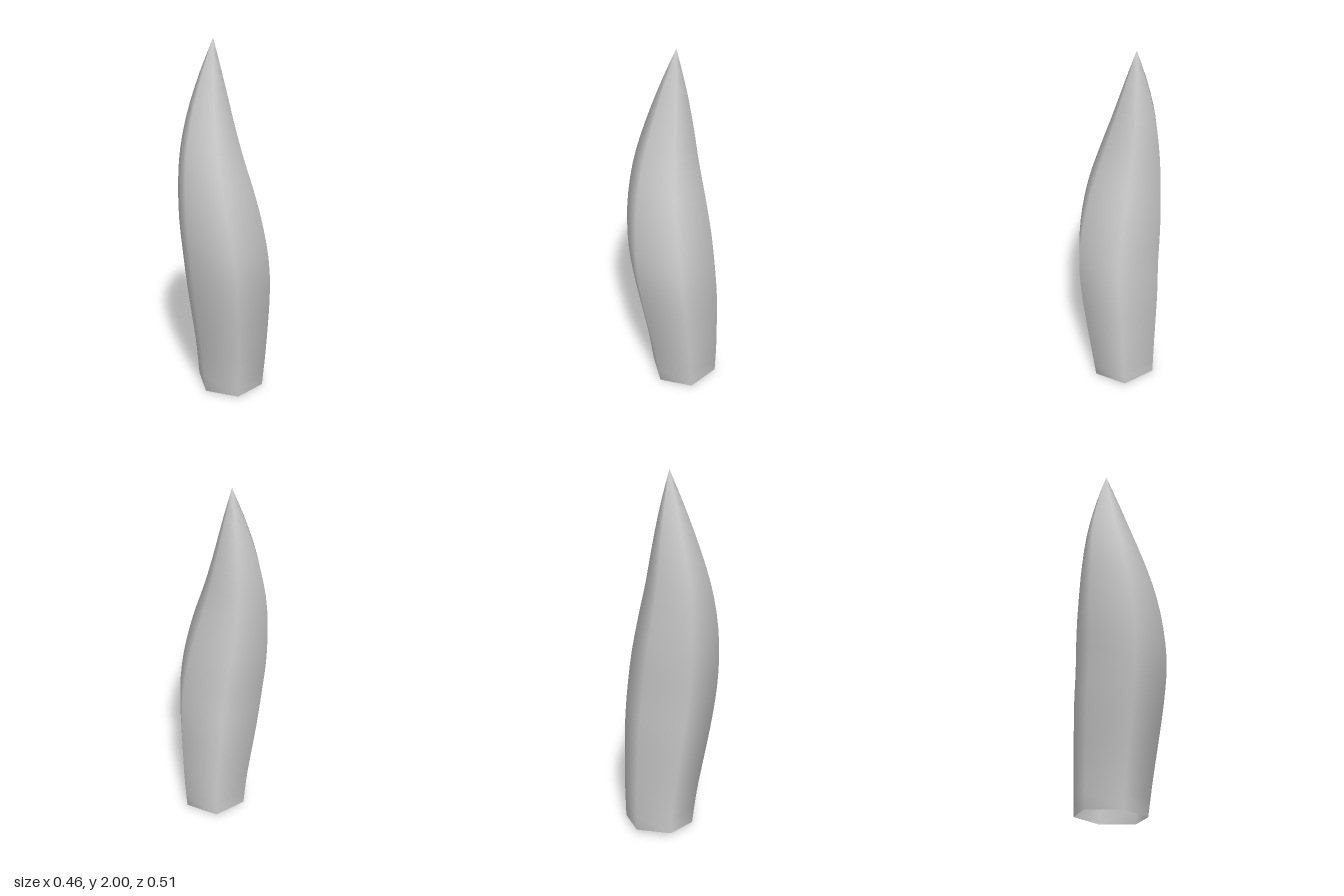
import * as THREE from 'three';

const SIDES = 6;
const RINGS = 24;

// Spine control rings, evenly spaced in height: [centre x, centre z, radius]
const PROFILE = [
  [0.047, -0.055, 0.192],
  [0.044, -0.042, 0.208],
  [0.033, -0.025, 0.226],
  [0.02, -0.008, 0.242],
  [0.003, 0.007, 0.248],
  [-0.022, 0.005, 0.24],
  [-0.047, -0.005, 0.215],
  [-0.068, -0.025, 0.175],
  [-0.07, -0.048, 0.126],
  [-0.06, -0.062, 0.068],
  [-0.045, -0.07, 0],
];

function curveThrough(points) {
  return new THREE.CatmullRomCurve3(points, false, 'catmullrom', 0.5);
}

// Hexagonal rings swept along the bent spine, closing in a point
function spikeGeometry() {
  const spine = curveThrough(PROFILE.map(([x, z], i) => new THREE.Vector3(x, i * 0.2, z)));
  const radii = curveThrough(PROFILE.map(([, , r], i) => new THREE.Vector3(r, i * 0.2, 0)));
  const positions = [];
  const indices = [];

  for (let i = 0; i < RINGS; i++) {
    const t = i / RINGS;
    const c = spine.getPoint(t);
    const r = radii.getPoint(t).x;
    const fade = 1 - t; // the slight tilt of the open base dies out upward
    for (let j = 0; j < SIDES; j++) {
      const a = (j / SIDES) * Math.PI * 2;
      const dz = r * Math.cos(a);
      positions.push(c.x + r * Math.sin(a), c.y + fade * (0.01 - 0.05 * dz), c.z + dz);
    }
  }
  const tip = spine.getPoint(1);
  positions.push(tip.x, tip.y, tip.z);

  for (let i = 0; i < RINGS; i++) {
    for (let j = 0; j < SIDES; j++) {
      const k = (j + 1) % SIDES;
      const a = i * SIDES + j;
      const b = i * SIDES + k;
      if (i === RINGS - 1) indices.push(a, b, RINGS * SIDES);
      else indices.push(a, b, a + SIDES, b, b + SIDES, a + SIDES);
    }
  }

  const geometry = new THREE.BufferGeometry();
  geometry.setAttribute('position', new THREE.Float32BufferAttribute(positions, 3));
  geometry.setIndex(indices);
  geometry.computeVertexNormals();
  return geometry;
}

export function createModel() {
  const group = new THREE.Group();
  const material = new THREE.MeshStandardMaterial({ color: 0xcccccc, side: THREE.DoubleSide });
  const spike = new THREE.Mesh(spikeGeometry(), material);
  spike.name = 'spike';
  group.add(spike);
  return group;
}
